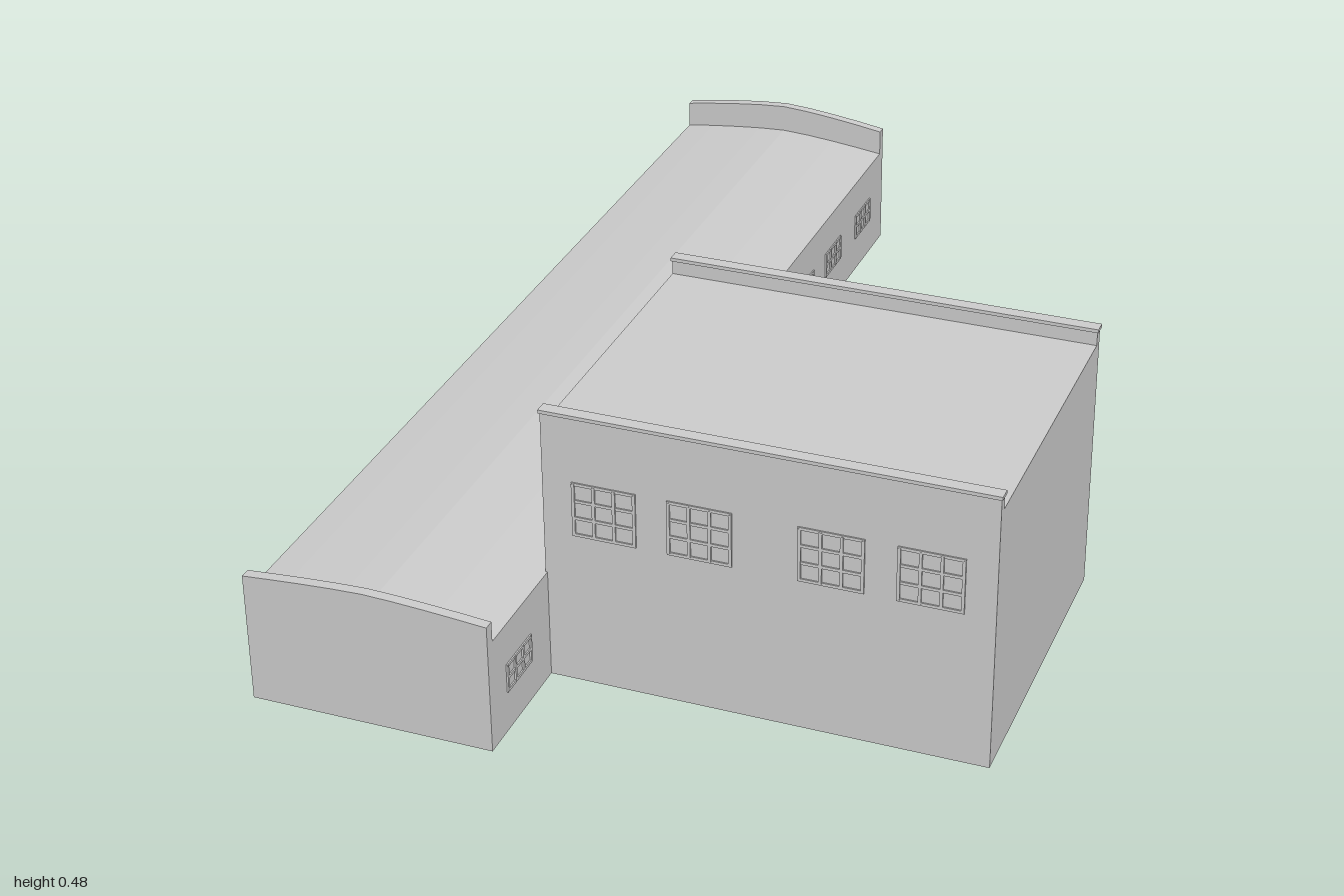
import * as THREE from 'three';

const mat = new THREE.MeshStandardMaterial({ color: 0xcccccc, flatShading: true });

function add(parent, name, geo, x = 0, y = 0, z = 0) {
  const m = new THREE.Mesh(geo, mat);
  m.name = name;
  m.position.set(x, y, z);
  parent.add(m);
  return m;
}

// box given by its centre in plan, its bottom and its top
function block(parent, name, x, z, w, d, y0, y1) {
  return add(parent, name, new THREE.BoxGeometry(w, y1 - y0, d), x, (y0 + y1) / 2, z);
}

// cross-section with a shallow curved top, extruded along z
function arched(parent, name, half, bottom, eave, crown, z0, z1) {
  const s = new THREE.Shape();
  s.moveTo(-half, bottom);
  s.lineTo(half, bottom);
  const n = 8;
  for (let i = 0; i <= n; i++) {
    const t = 1 - (2 * i) / n;
    s.lineTo(half * t, eave + (crown - eave) * (1 - Math.pow(Math.abs(t), 1.4)));
  }
  const geo = new THREE.ExtrudeGeometry(s, { depth: z1 - z0, bevelEnabled: false });
  return add(parent, name, geo, 0, 0, z0);
}

// framed opening with glazing bars, facing +z before rotation
function opening(parent, name, w, h, cols, rows, x, y, z, turn) {
  const g = new THREE.Group();
  g.name = name;
  const b = 0.005, d = 0.006;
  for (let i = 0; i <= cols; i++)
    add(g, 'upright', new THREE.BoxGeometry(b, h, d), -w / 2 + (w * i) / cols, 0, 0);
  for (let j = 0; j <= rows; j++)
    add(g, 'crossbar', new THREE.BoxGeometry(w + b, b, d * 0.8), 0, -h / 2 + (h * j) / rows, 0);
  g.position.set(x, y, z);
  g.rotation.y = turn;
  parent.add(g);
}

export function createModel() {
  const model = new THREE.Group();
  model.name = 'building';
  const site = new THREE.Group();
  site.name = 'site';
  site.position.set(-0.3075, 0, 0.03);
  site.rotation.y = 0.326;
  model.add(site);

  const W = 0.205, L = 0.945;

  // long low hall with its shallow roof and raised end walls
  const hall = new THREE.Group();
  hall.name = 'hall';
  site.add(hall);
  arched(hall, 'hallBody', W, 0, 0.19, 0.21, -L + 0.01, L - 0.01);
  arched(hall, 'frontEndWall', W, 0, 0.225, 0.238, L - 0.018, L);
  arched(hall, 'backEndWall', W, 0, 0.238, 0.262, -L, -L + 0.018);

  // hall windows: a full row on one side, two runs on the other
  for (let i = 0; i < 11; i++)
    opening(hall, 'hallWindow', 0.095, 0.045, 3, 2, -W, 0.095, -0.84 + i * 0.168, -Math.PI / 2);
  for (const z of [-0.82, -0.64, -0.48, -0.33, -0.19, -0.05, 0.84])
    opening(hall, 'hallWindow', 0.085, 0.045, 3, 2, W, 0.095, z, Math.PI / 2);
  opening(hall, 'sideDoor', 0.045, 0.1, 1, 1, W, 0.05, 0.1, Math.PI / 2);
  opening(hall, 'backWindow', 0.06, 0.05, 2, 2, -0.125, 0.095, -L, Math.PI);
  opening(hall, 'backDoor', 0.08, 0.11, 2, 1, -0.01, 0.055, -L, Math.PI);

  // tall wing with a flat roof between two parapets
  const wing = new THREE.Group();
  wing.name = 'tallWing';
  site.add(wing);
  const x0 = 0.202, ww = 0.724, z0 = 0.163, z1 = 0.725;
  const cx = x0 + ww / 2;
  block(wing, 'wingBody', cx, (z0 + z1) / 2, ww, z1 - z0 - 0.006, 0, 0.45);
  for (const [z, s] of [[z0, 1], [z1, -1]]) {
    block(wing, 'parapetWall', cx, z + s * 0.01, ww, 0.016, 0, 0.474);
    block(wing, 'parapetCap', cx, z + s * 0.01, ww + 0.004, 0.022, 0.474, 0.48);
    for (const f of [0.14, 0.355, 0.645, 0.86])
      opening(wing, 'wingWindow', 0.1, 0.09, 3, 3, x0 + ww * f, 0.315, z + s * 0.002, s > 0 ? Math.PI : 0);
  }

  // barrel canopy on two posts over the back door
  const canopy = new THREE.Group();
  canopy.name = 'canopy';
  canopy.position.x = -0.014;
  site.add(canopy);
  const shell = new THREE.Shape();
  const r = 0.067, n = 12, t = 0.004;
  for (let i = 0; i <= 2 * n + 1; i++) {
    const outer = i <= n;
    const a = (Math.PI * (outer ? i : 2 * n + 1 - i)) / n;
    const k = outer ? 0 : t;
    const px = Math.cos(a) * (r - k), py = 0.138 + Math.sin(a) * (0.028 - k);
    if (i === 0) shell.moveTo(px, py);
    else shell.lineTo(px, py);
  }
  add(canopy, 'canopyRoof', new THREE.ExtrudeGeometry(shell, { depth: 0.125, bevelEnabled: false }), 0, 0, -1.07);
  for (const s of [-1, 1])
    add(canopy, 'canopyPost', new THREE.CylinderGeometry(0.003, 0.003, 0.145, 8), s * 0.06, 0.0725, -1.05);

  return model;
}
